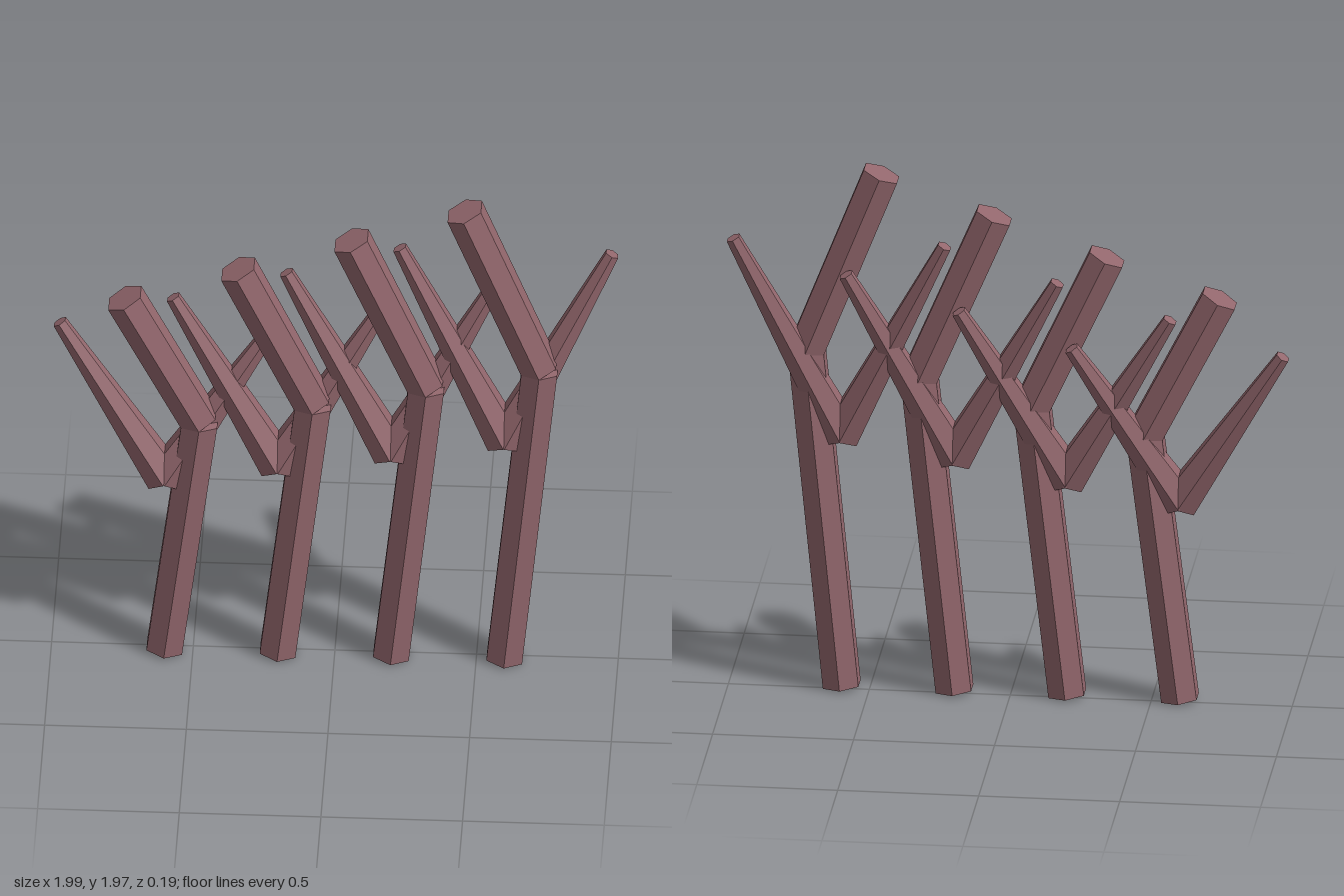
import * as THREE from 'three';

export function createModel() {
  const model = new THREE.Group();
  const bark = new THREE.MeshStandardMaterial({ color: 0x93676d });
  bark.flatShading = true;

  // Six-sided, optionally tapered limb between two points
  function limb(name, from, to, r0, r1) {
    const a = new THREE.Vector3(...from), b = new THREE.Vector3(...to);
    const dir = b.clone().sub(a);
    const mesh = new THREE.Mesh(new THREE.CylinderGeometry(r1, r0, dir.length(), 6), bark);
    mesh.position.copy(a).add(b).multiplyScalar(0.5);
    mesh.quaternion.setFromUnitVectors(new THREE.Vector3(0, 1, 0), dir.normalize());
    mesh.name = name;
    return mesh;
  }

  // Row of four bent posts, each taller than the last
  for (let i = 0; i < 4; i++) {
    const post = new THREE.Group();
    post.name = 'post' + (i + 1);
    post.position.x = -0.6 + 0.4 * i;

    const z = 0.019, r = 0.073;
    const joint = [0.124, 1.0 + 0.09 * i, z];
    post.add(limb('lowerTrunk', [0, 0.008, z], joint, r, r));
    post.add(limb('upperTrunk', joint, [-0.141, 1.523 + 0.14 * i, z], r, r));

    // Forked pair of tapering branches leaning back
    const fork = [0, 0.75 + 0.068 * i, z];
    for (const side of [-1, 1]) {
      post.add(limb(side < 0 ? 'rightBranch' : 'leftBranch', fork,
        [side * 0.375, 1.346 + 0.122 * i, -0.071], 0.073, 0.027));
    }
    model.add(post);
  }
  return model;
}
